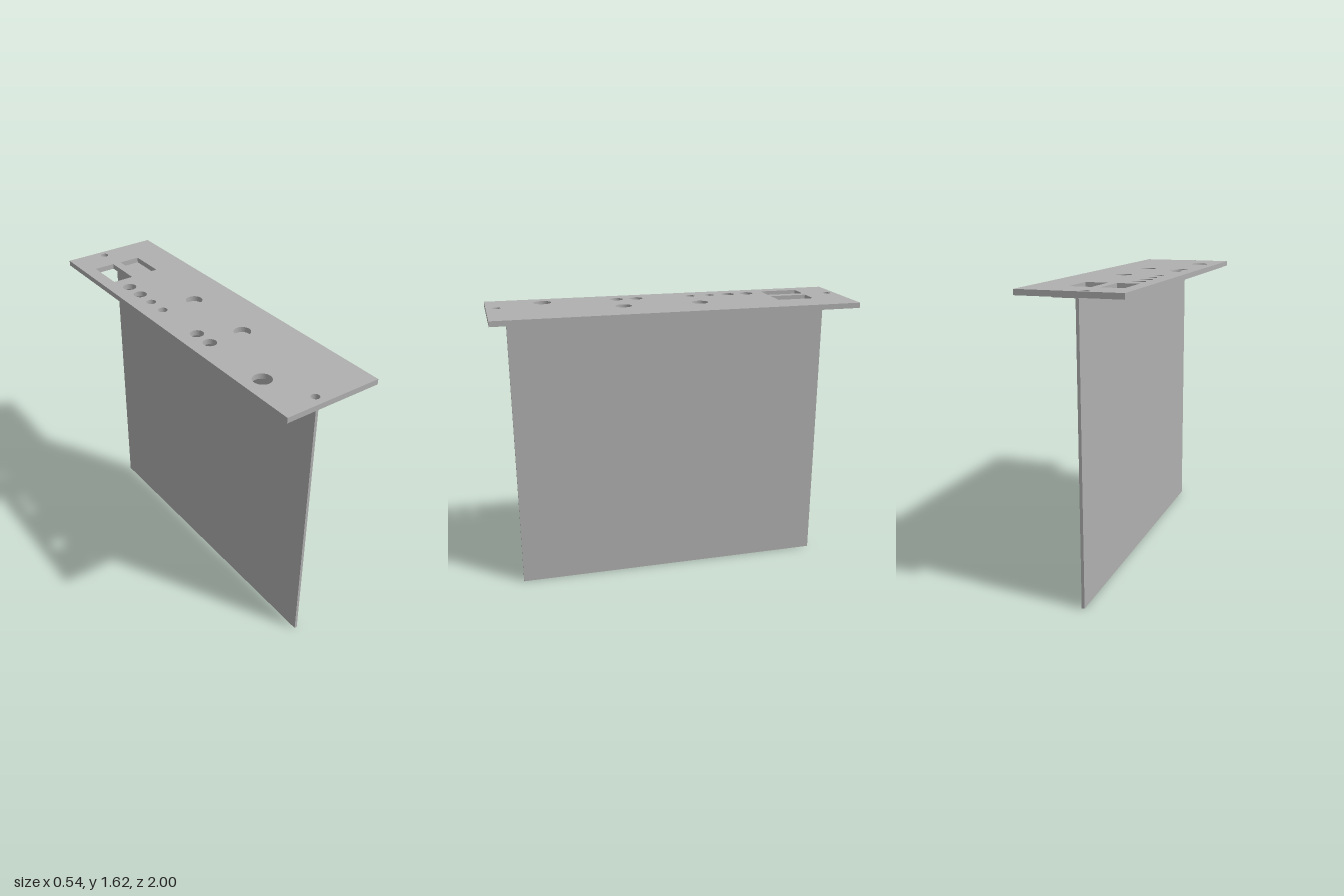
import * as THREE from 'three';

export function createModel() {
  const model = new THREE.Group();
  const grey = new THREE.MeshStandardMaterial({ color: 0xb0b0b0 });
  grey.name = 'plain grey';

  function add(name, geometry, x, y, z) {
    const mesh = new THREE.Mesh(geometry, grey);
    mesh.name = name;
    mesh.position.set(x, y, z);
    model.add(mesh);
  }

  // Box given by its limits in x and y and its length along z
  function addBox(name, x0, x1, y0, y1, length) {
    add(name, new THREE.BoxGeometry(x1 - x0, y1 - y0, length), (x0 + x1) / 2, (y0 + y1) / 2, 0);
  }

  // Rectangle outline, with shape y standing for model z
  function rectangle(path, x0, x1, z0, z1) {
    path.moveTo(x0, z0).lineTo(x1, z0).lineTo(x1, z1).lineTo(x0, z1).closePath();
    return path;
  }

  // Face plate with its connector cutouts
  const plate = rectangle(new THREE.Shape(), -0.272, 0.272, -1, 1);
  plate.holes.push(rectangle(new THREE.Path(), -0.201, -0.085, -0.81, -0.596));
  plate.holes.push(rectangle(new THREE.Path(), -0.037, 0.08, -0.806, -0.598));

  // Round holes: x, z, radius
  const holes = [
    [-0.063, -0.952, 0.022], [-0.063, 0.943, 0.022], // mounting screws
    [-0.164, -0.492, 0.037], [-0.164, -0.379, 0.036],
    [-0.164, -0.267, 0.026], [-0.164, -0.153, 0.026],
    [-0.164, 0.164, 0.036], [-0.164, 0.276, 0.036],
    [-0.164, 0.691, 0.049],
    [0.038, -0.153, 0.045], [0.038, 0.276, 0.045],
  ];
  for (const [x, z, r] of holes) {
    plate.holes.push(new THREE.Path().absarc(x, z, r, 0, Math.PI * 2, true));
  }
  const plateGeometry = new THREE.ExtrudeGeometry(plate, {
    depth: 0.029, bevelEnabled: false, curveSegments: 32,
  });
  plateGeometry.rotateX(Math.PI / 2);
  add('facePlate', plateGeometry, 0, 1.616, 0);

  // Upright board and the narrow flange just under the plate
  addBox('board', -0.011, 0.005, 0, 1.587, 1.804);
  addBox('flange', 0.005, 0.12, 1.572, 1.584, 1.804);

  return model;
}
